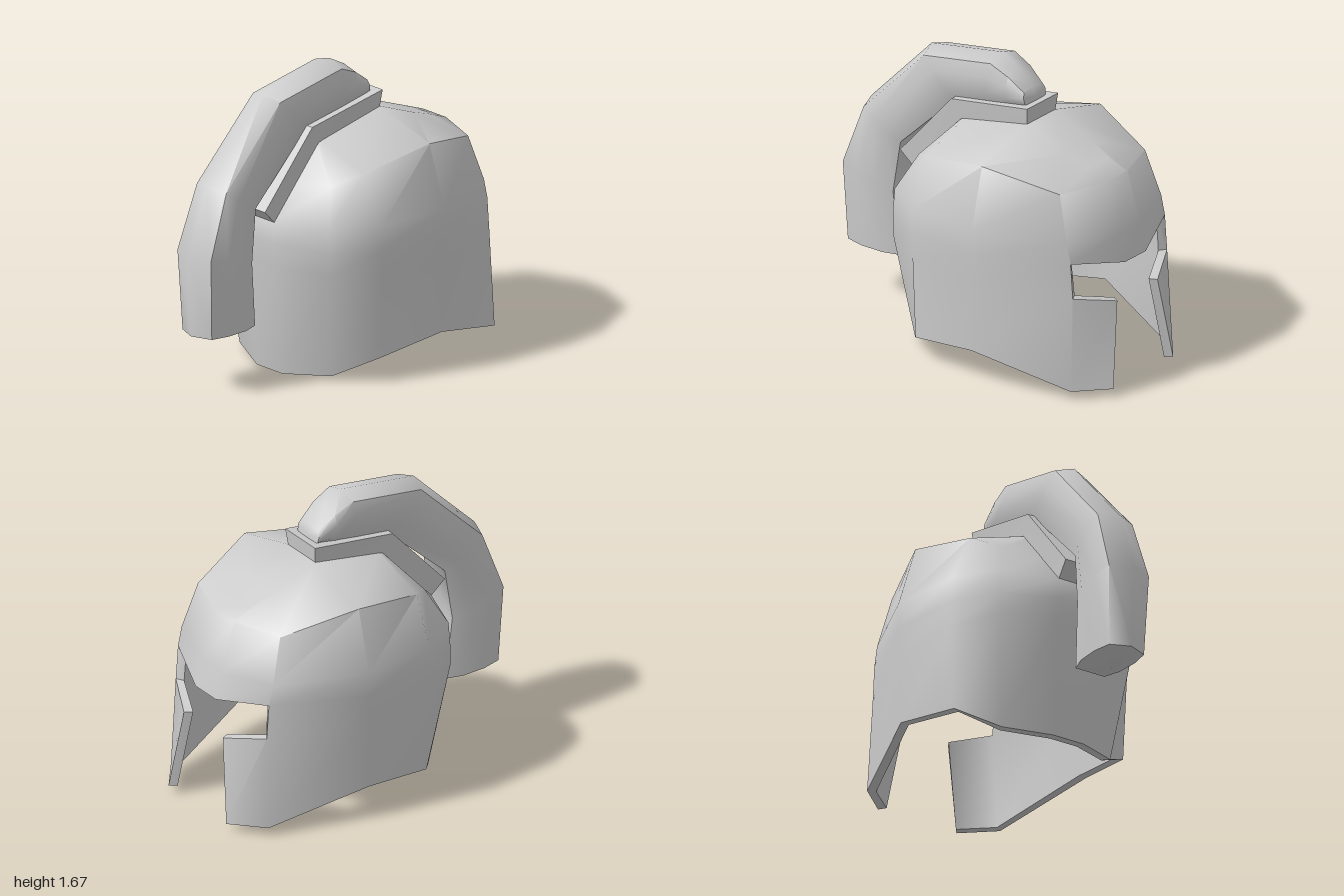
import * as THREE from 'three';
import { toCreasedNormals } from 'three/addons/utils/BufferGeometryUtils.js';

const material = new THREE.MeshStandardMaterial({ color: 0xcccccc });

// Indexed geometry from points and polygon faces (triangles or quads)
function polyGeometry(points, faces) {
  const geo = new THREE.BufferGeometry();
  geo.setAttribute('position', new THREE.Float32BufferAttribute(points.flat(), 3));
  geo.setIndex(faces.flatMap(([a, b, c, d]) => (d === undefined ? [a, b, c] : [a, b, c, a, c, d])));
  geo.computeVertexNormals();
  return geo;
}

function part(name, geo, crease) {
  const mesh = new THREE.Mesh(toCreasedNormals(geo, crease), material);
  mesh.name = name;
  return mesh;
}

// Helmet shell: rows from hem to crown, columns from the face edge round to the back
function helmetShell() {
  const half = [
    [[1.0, 0.05, 0.26], [0.85, 0.055, 0.44], [0.3, 0.205, 0.61], [-0.12, 0.145, 0.56], [-0.28, 0.03, 0.36], [-0.4, 0.005, 0.1]],
    [[0.96, 0.53, 0.175], [0.84, 0.59, 0.41], [0.31, 0.6, 0.617], [-0.12, 0.63, 0.585], [-0.37, 0.65, 0.44], [-0.487, 0.66, 0.13]],
    [[0.945, 0.725, 0.09], [0.825, 0.79, 0.41], [0.31, 0.77, 0.62], [-0.12, 0.77, 0.588], [-0.37, 0.77, 0.44], [-0.485, 0.78, 0.13]],
    [[0.905, 0.88, 0.09], [0.8, 0.9, 0.41], [0.31, 0.91, 0.62], [-0.12, 0.91, 0.585], [-0.365, 0.91, 0.43], [-0.48, 0.9, 0.12]],
    [[0.82, 0.1 + 1.065, 0.09], [0.72, 1.16, 0.37], [0.3, 1.26, 0.515], [-0.13, 1.18, 0.46], [-0.27, 1.11, 0.34], [-0.32, 1.085, 0.11]],
    [[0.7, 1.212, 0.08], [0.56, 1.265, 0.11], [0.3, 1.37, 0.12], [-0.13, 1.285, 0.11], [-0.15, 1.28, 0.1], [-0.155, 1.275, 0.08]],
  ];
  const N = 12;
  const outer = half.flatMap(row => [...row, ...[...row].reverse().map(([x, y, z]) => [x, y, -z])]);
  const at = (r, j) => r * N + (j % N);
  const faces = [];
  for (let r = 0; r < 5; r++) {
    for (let j = 0; j < N; j++) {
      // leave out the nose gap and the eye slot
      if (r < 2 && j === N - 1) continue;
      if (r === 1 && (j === 0 || j === N - 2)) continue;
      faces.push([at(r, j + 1), at(r, j), at(r + 1, j), at(r + 1, j + 1)]);
    }
  }
  for (let j = 0; j < 5; j++) faces.push([at(5, j), at(5, 11 - j), at(5, 10 - j), at(5, j + 1)]);

  // Inner wall, offset along the normals; the open edges keep their height
  const normal = polyGeometry(outer, faces).attributes.normal;
  const wall = 0.05;
  const inner = outer.map(([x, y, z], i) => [
    x - wall * normal.getX(i),
    i < 3 * N ? y : y - wall * normal.getY(i),
    z - wall * normal.getZ(i),
  ]);
  const shift = outer.length;
  const all = [...faces, ...faces.map(f => f.map(i => i + shift).reverse())];

  // Rim along every open edge
  const edges = new Set();
  const eachEdge = fn => faces.forEach(f => f.forEach((a, k) => fn(a, f[(k + 1) % f.length])));
  eachEdge((a, b) => edges.add(`${a},${b}`));
  eachEdge((a, b) => {
    if (!edges.has(`${b},${a}`)) all.push([b, a, a + shift, b + shift]);
  });
  return polyGeometry([...outer, ...inner], all);
}

// Plume: lofted sections given by outer point, inner point and half width
function plumeGeometry() {
  const stations = [
    [0.245, 1.535, 0.265, 1.44, 0.095],
    [0.15, 1.62, 0.14, 1.42, 0.115],
    [0.04, 1.68, 0, 1.4, 0.125],
    [-0.45, 1.595, -0.21, 1.365, 0.125],
    [-0.86, 1.17, -0.59, 1.0, 0.135],
    [-1.0, 0.81, -0.63, 0.7, 0.155],
    [-0.98, 0.34, -0.595, 0.33, 0.135],
  ];
  // position from outer to inner side, and relative width
  const side = [[0.12, 0.85], [0.4, 1], [0.75, 0.95], [1, 0.7]];
  const section = [[0, 0], ...side, ...[...side].reverse().map(([t, w]) => [t, -w])];
  const K = section.length;
  const points = stations.flatMap(([ox, oy, ix, iy, w]) =>
    section.map(([t, s]) => [ox + (ix - ox) * t, oy + (iy - oy) * t, s * w]));
  const last = (stations.length - 1) * K;
  const front = points.push([0.265, 1.48, 0]) - 1;
  const tip = points.push([-0.79, 0.28, 0]) - 1;
  const faces = [];
  for (let k = 0; k < K; k++) {
    const n = (k + 1) % K;
    for (let i = 0; i < last; i += K) faces.push([i + K + n, i + n, i + k, i + K + k]);
    faces.push([front, k, n], [tip, last + n, last + k]);
  }
  return polyGeometry(points, faces);
}

// Crest rail: bent bar following the ridge, wider on top
function railGeometry() {
  const path = [[0.31, 1.465, 0.3, 1.365], [-0.21, 1.38, -0.15, 1.275], [-0.56, 0.98, -0.475, 0.895]];
  const points = path.flatMap(([tx, ty, bx, by]) =>
    [[tx, ty, 0.135], [bx, by, 0.122], [bx, by, -0.122], [tx, ty, -0.135]]);
  const faces = [[0, 1, 2, 3], [11, 10, 9, 8]];
  for (let i = 0; i < 8; i += 4) {
    for (let k = 0; k < 4; k++) {
      const n = (k + 1) % 4;
      faces.push([i + 4 + n, i + n, i + k, i + 4 + k]);
    }
  }
  return polyGeometry(points, faces);
}

export function createModel() {
  const model = new THREE.Group();
  model.name = 'crestedHelmet';
  model.add(
    part('helmetShell', helmetShell(), 0.95),
    part('crestRail', railGeometry(), 0.4),
    part('plume', plumeGeometry(), 1.0),
  );
  return model;
}
